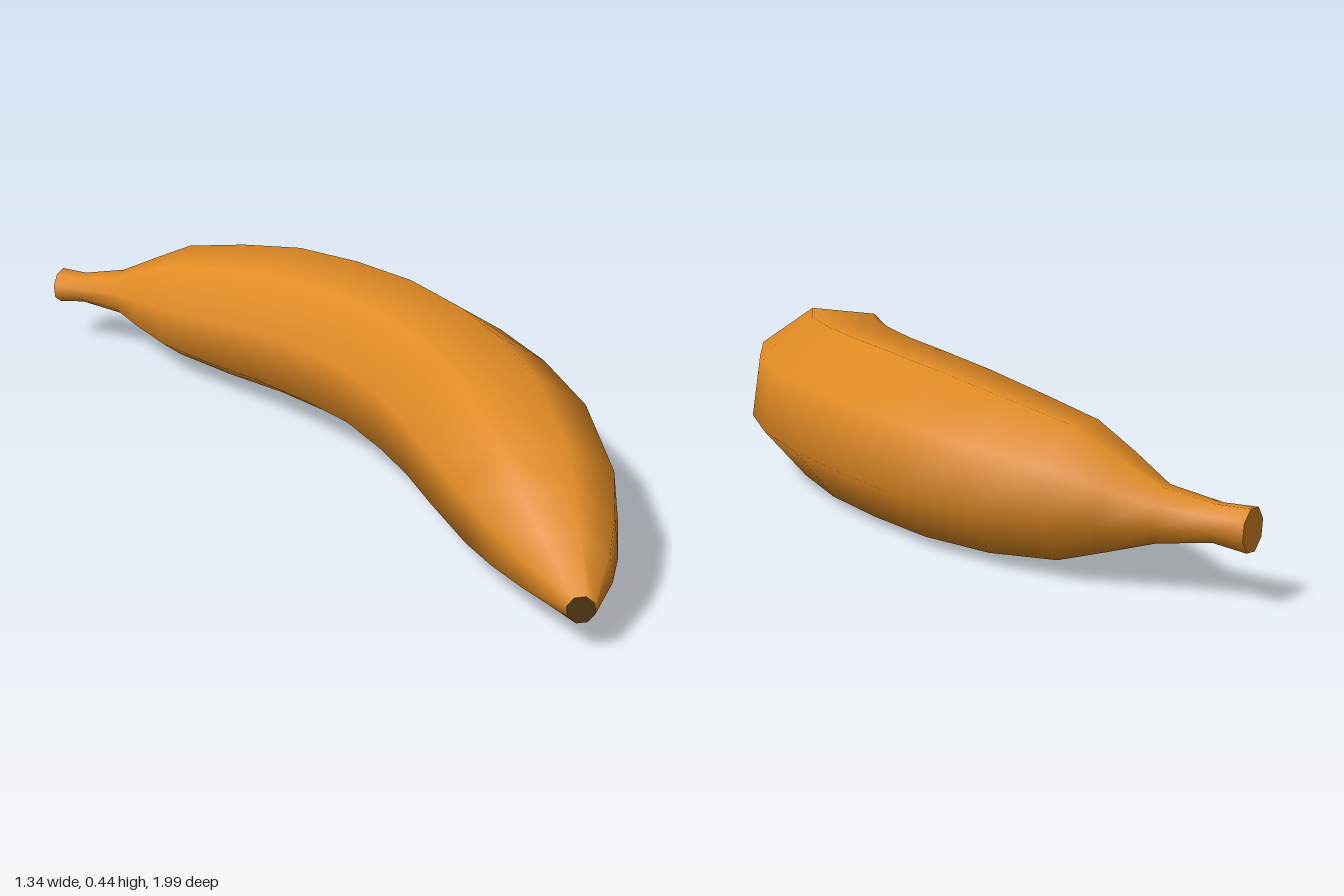
import * as THREE from 'three';

const SIDES = 8;
const TURN = -Math.PI / 12; // puts one ridge low on the outer curve

// Cross-sections from stem to tip: outer x, outer z, inner x, inner z, bottom y, top y
const SECTIONS = [
  [-0.62, -1.0, -0.67, -0.91, 0.12, 0.22],
  [-0.55, -0.955, -0.6, -0.875, 0.13, 0.217],
  [-0.43, -0.92, -0.49, -0.8, 0.11, 0.24],
  [-0.31, -0.9, -0.43, -0.69, 0.07, 0.295],
  [-0.19, -0.875, -0.36, -0.58, 0.03, 0.35],
  [-0.02, -0.79, -0.24, -0.44, 0.01, 0.385],
  [0.15, -0.67, -0.12, -0.3, 0.005, 0.415],
  [0.3, -0.5, 0.0, -0.14, 0.002, 0.43],
  [0.44, -0.31, 0.09, 0.0, 0.0, 0.435],
  [0.56, -0.09, 0.15, 0.16, 0.0, 0.43],
  [0.63, 0.11, 0.19, 0.3, 0.002, 0.42],
  [0.67, 0.37, 0.22, 0.45, 0.005, 0.408],
  [0.655, 0.66, 0.27, 0.64, 0.015, 0.36],
  [0.61, 0.81, 0.31, 0.74, 0.03, 0.31],
  [0.57, 0.9, 0.36, 0.85, 0.055, 0.245],
  [0.505, 0.99, 0.44, 0.98, 0.08, 0.15],
];

// Points of one eight-sided ring, stretched to fill its section
function ring([ox, oz, ix, iz, y0, y1]) {
  const points = [];
  const fit = 1 / Math.cos(TURN);
  for (let j = 0; j < SIDES; j++) {
    const a = TURN + (j / SIDES) * Math.PI * 2;
    const c = (Math.cos(a) * fit) / 2;
    const s = (Math.sin(a) * fit) / 2;
    points.push(
      (ox + ix) / 2 + (ox - ix) * c,
      (y0 + y1) / 2 + (y1 - y0) * s,
      (oz + iz) / 2 + (oz - iz) * c
    );
  }
  return points;
}

function makeGeometry(positions, index) {
  const geometry = new THREE.BufferGeometry();
  geometry.setAttribute('position', new THREE.Float32BufferAttribute(positions, 3));
  geometry.setIndex(index);
  geometry.computeVertexNormals();
  return geometry;
}

// Smooth skin joining all rings
function skinGeometry() {
  const index = [];
  for (let i = 0; i < SECTIONS.length - 1; i++) {
    for (let j = 0; j < SIDES; j++) {
      const k = (j + 1) % SIDES;
      const a = i * SIDES + j, b = i * SIDES + k;
      index.push(a, b, a + SIDES, b, b + SIDES, a + SIDES);
    }
  }
  return makeGeometry(SECTIONS.flatMap(ring), index);
}

// Flat end closing one ring
function capGeometry(section, facesTip) {
  const index = [];
  for (let j = 1; j < SIDES - 1; j++) {
    index.push(0, ...(facesTip ? [j, j + 1] : [j + 1, j]));
  }
  return makeGeometry(ring(section), index);
}

export function createModel() {
  const peel = new THREE.MeshStandardMaterial({ color: 0xe08a24 });
  peel.name = 'peel orange';
  const brown = new THREE.MeshStandardMaterial({ color: 0x573c17 });
  brown.name = 'tip brown';

  const group = new THREE.Group();
  group.name = 'banana';
  const add = (name, geometry, material) => {
    const mesh = new THREE.Mesh(geometry, material);
    mesh.name = name;
    group.add(mesh);
  };

  add('skin', skinGeometry(), peel);
  add('stemEnd', capGeometry(SECTIONS[0], false), peel);
  add('blossomTip', capGeometry(SECTIONS[SECTIONS.length - 1], true), brown);
  return group;
}
